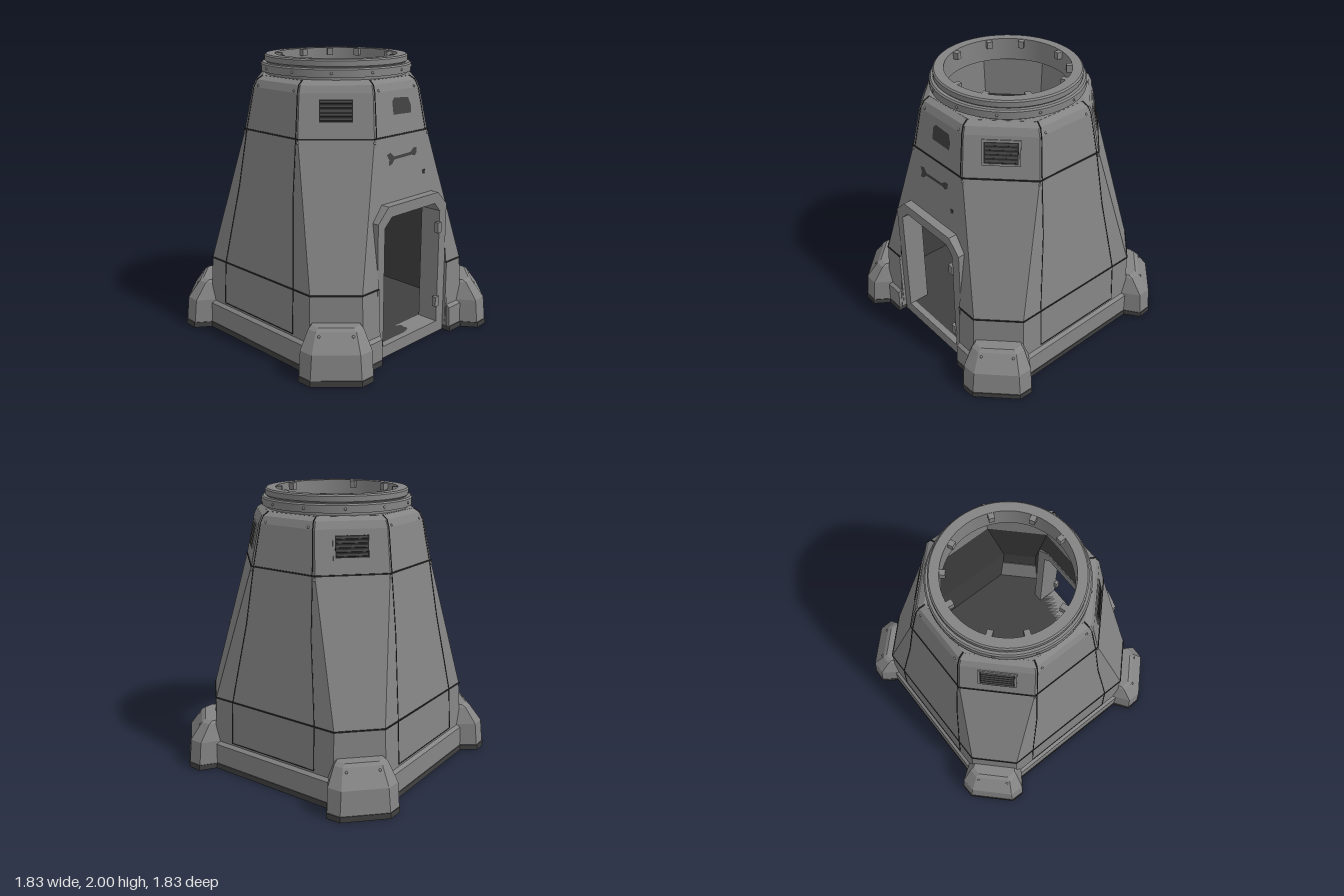
import * as THREE from 'three';
import { toCreasedNormals } from 'three/addons/utils/BufferGeometryUtils.js';

const mat = (name, color, side = THREE.FrontSide) => {
  const m = new THREE.MeshStandardMaterial({ color, side });
  m.name = name;
  return m;
};

// Wall levels: height, half width, half width of the flat face
const OUTER = [[0.04, 0.785, 0.53], [0.53, 0.76, 0.52], [1.5, 0.62, 0.27], [1.79, 0.572, 0.235],
  [1.84, 0.55, 0.225], [1.865, 0.51, 0.21]];
const INNER = OUTER.map(([y, w, f], i) => {
  const t = i < 3 ? 0.09 : 0.05;
  return [y, w - t, f - t * 0.41];
});

// Interpolated half widths [w, f] at height y
function at(levels, y) {
  let i = 0;
  while (i < levels.length - 2 && y > levels[i + 1][0]) i++;
  const [a, b] = [levels[i], levels[i + 1]];
  const k = (y - a[0]) / (b[0] - a[0]);
  return [a[1] + (b[1] - a[1]) * k, a[2] + (b[2] - a[2]) * k];
}
const octagon = (y, w, f) =>
  [[-f, w], [f, w], [w, f], [w, -f], [f, -w], [-f, -w], [-w, -f], [-w, f]].map(([x, z]) => [x, y, z]);

// Flat-shaded skin between stacked loops, optionally closed on top
function loft(loops, cap = true, skip = () => false) {
  const p = [];
  for (let l = 0; l < loops.length - 1; l++) {
    const [A, B] = [loops[l], loops[l + 1]];
    A.forEach((a, i) => {
      if (skip(l, i)) return;
      const j = (i + 1) % A.length;
      p.push(...a, ...A[j], ...B[j], ...a, ...B[j], ...B[i]);
    });
  }
  const top = loops[loops.length - 1];
  if (cap) for (let i = 1; i < top.length - 1; i++) p.push(...top[0], ...top[i], ...top[i + 1]);
  const g = new THREE.BufferGeometry();
  g.setAttribute('position', new THREE.Float32BufferAttribute(p, 3));
  g.computeVertexNormals();
  return g;
}

const shapeOf = (pts) => new THREE.Shape(pts.map(([x, y]) => new THREE.Vector2(x, y)));

// Flat polygon laid onto the sloping front wall
function frontPanel(pts, levels, lift = 0) {
  const g = new THREE.ShapeGeometry(shapeOf(pts));
  const pos = g.attributes.position;
  for (let i = 0; i < pos.count; i++) pos.setZ(i, at(levels, pos.getY(i))[0] + lift);
  g.computeVertexNormals();
  return g;
}

export function createModel() {
  const root = new THREE.Group();
  root.name = 'tower';
  const shell = mat('shell grey', 0x848484);
  const liner = mat('liner grey', 0x848484, THREE.DoubleSide);
  const dark = mat('dark grey', 0x404040, THREE.DoubleSide);
  const line = mat('seam dark', 0x282828);

  const add = (name, geo, m, parent = root) => {
    const mesh = new THREE.Mesh(geo, m);
    mesh.name = name;
    parent.add(mesh);
    return mesh;
  };
  const box = (name, m, w, h, d, x, y, z, parent) => {
    const b = add(name, new THREE.BoxGeometry(w, h, d), m, parent);
    b.position.set(x, y, z);
    return b;
  };
  // Thin strip between two points, in the parent's own frame
  const strip = (name, a, b, s, parent) => {
    const [p, q] = [new THREE.Vector3(...a), new THREE.Vector3(...b)];
    const mesh = add(name, new THREE.BoxGeometry(s, s, p.distanceTo(q)), line, parent);
    mesh.position.copy(p).add(q).multiplyScalar(0.5);
    mesh.quaternion.setFromUnitVectors(new THREE.Vector3(0, 0, 1), q.sub(p).normalize());
  };
  const bolt = (x, y, z, parent) =>
    add('bolt', new THREE.SphereGeometry(0.01, 8, 6), shell, parent).position.set(x, y, z);

  // Outer and inner walls, with the doorway cut from the front
  const doorSide = (l, i) => i === 0 && l < 2;
  add('outerWall', loft(OUTER.map((l) => octagon(...l)), false, doorSide), shell);
  add('innerWall', loft(INNER.slice(0, 3).map((l) => octagon(...l)), false, doorSide), dark);
  add('upperInnerWall', loft(INNER.slice(2).map((l) => octagon(...l)), false), liner);
  for (const [name, levels, m] of [['outerWall', OUTER, shell], ['innerWall', INNER, dark]]) {
    const [f0, f1, f2] = levels.map((l) => l[2]);
    add(name + 'Front', frontPanel([[-f1, 0.53], [-0.36, 0.53], [-0.36, 0.97], [-0.26, 1.07], [0.26, 1.07],
      [0.36, 0.97], [0.36, 0.53], [f1, 0.53], [f2, 1.5], [-f2, 1.5]], levels), m);
    for (const s of [-1, 1])
      add(name + 'LowerFront', frontPanel([[s * 0.36, 0.04], [s * f0, 0.04], [s * f1, 0.53], [s * 0.36, 0.53]], levels), m);
  }
  add('floor', loft([octagon(0.05, 0.7, 0.5), octagon(0.09, 0.7, 0.5)]), dark);

  // Roof plate with the round opening
  const roof = shapeOf(octagon(0, 0.51, 0.21).map(([x, , z]) => [x, -z]));
  roof.holes.push(new THREE.Path().absarc(0, 0, 0.44, 0, Math.PI * 2));
  const roofGeo = new THREE.ExtrudeGeometry(roof, { depth: 0.01, bevelEnabled: false, curveSegments: 24 });
  roofGeo.rotateX(-Math.PI / 2).translate(0, 1.856, 0);
  add('roofPlate', roofGeo, shell);

  // Stepped hatch ring with clips and bolts
  const profile = [[0.5, 1.86], [0.5, 1.885], [0.53, 1.885], [0.53, 1.935], [0.52, 1.945], [0.495, 1.945],
    [0.505, 1.955], [0.505, 1.99], [0.495, 2], [0.43, 2], [0.43, 1.84]].map(([x, y]) => new THREE.Vector2(x, y));
  add('hatchRing', toCreasedNormals(new THREE.LatheGeometry(profile, 64), 0.5), shell);
  for (const [x, z] of [[0.07, -0.45], [0.28, -0.35], [0.42, -0.17], [0.4, 0.17], [0.21, 0.38], [-0.02, 0.43],
    [-0.43, 0.14], [-0.42, -0.17], [-0.26, -0.36]]) {
    const a = Math.atan2(x, z);
    box('ringClip', shell, 0.04, 0.05, 0.07, Math.sin(a) * 0.425, 1.972, Math.cos(a) * 0.425).rotation.y = a;
  }
  for (let i = 0; i < 12; i++) bolt(Math.sin(i * 0.524 + 0.2) * 0.527, 1.912, Math.cos(i * 0.524 + 0.2) * 0.527);

  // Horizontal grooves around the wall
  for (const y of [0.53, 1.5]) {
    const ring = octagon(y, ...at(OUTER, y));
    ring.forEach((a, i) => {
      const b = ring[(i + 1) % 8];
      if (y < 1 && i === 0) {
        strip('groove', a, [-0.36, y, a[2]], 0.01);
        strip('groove', [0.36, y, a[2]], b, 0.01);
      } else strip('groove', a, b, 0.01);
    });
  }

  for (let k = 0; k < 4; k++) {
    // Panel seams on each flat face
    const face = new THREE.Group();
    face.name = 'facePanel';
    face.rotation.y = (k * Math.PI) / 2;
    root.add(face);
    const seam = (pts) => {
      for (let i = 0; i < pts.length - 1; i++) {
        const [a, b] = [pts[i], pts[i + 1]].map(([x, y]) => [x, y, at(OUTER, y)[0]]);
        strip('seam', a, b, 0.006, face);
      }
    };
    for (const s of [-1, 1]) {
      seam([[s * 0.25, 1.5], [s * 0.22, 1.79], [s * 0.21, 1.84], [s * 0.2, 1.865]]);
      bolt(s * 0.27, 1.475, at(OUTER, 1.475)[0] - 0.003, face);
      bolt(s * 0.18, 1.8, at(OUTER, 1.8)[0] - 0.004, face);
      if (k) seam([[s * 0.25, 1.5], [s * 0.28, 1.1], [s * 0.33, 0.75], [s * 0.36, 0.53], [s * 0.365, 0.22]]);
    }
    if (k) seam([[-0.365, 0.22], [0.365, 0.22]]);

    // Plinth with a bevelled top edge, split at the door
    const plinth = (x0, x1) => add('plinth', loft([[0.04, 0.805], [0.185, 0.8], [0.21, 0.77]].map(([y, z]) =>
      [[x0, y, z], [x1, y, z], [x1, y, 0.71], [x0, y, 0.71]])), shell, face);
    if (k) plinth(-0.68, 0.68);
    else for (const s of [-1, 1]) {
      plinth(s < 0 ? -0.62 : 0.365, s < 0 ? -0.365 : 0.62);
      box('doorReveal', shell, 0.015, 0.46, 0.06, s * 0.368, 0.3, 0.735, face);
    }

    // Corner buttress foot with dark sole
    const corner = new THREE.Group();
    corner.name = 'corner';
    corner.rotation.y = Math.PI / 4 + (k * Math.PI) / 2;
    root.add(corner);
    const loop = (y, u, w, w2, c) => [[-w2, u], [w2, u], [w, u - c], [w * 0.84, 0.82], [-w * 0.84, 0.82], [-w, u - c]]
      .map(([x, z]) => [x, y, z]);
    add('foot', loft([loop(0.04, 1.115, 0.24, 0.165, 0.07), loop(0.21, 1.1, 0.232, 0.155, 0.07),
      loop(0.33, 1.015, 0.18, 0.13, 0.05), loop(0.348, 0.99, 0.16, 0.115, 0.05)]), shell, corner);
    const sole = [0, 0.04].map((y) => loop(y, 1.12, 0.244, 0.167, 0.07));
    add('footSole', loft(sole), dark, corner);
    add('footUnderside', loft([sole[0].slice().reverse()]), dark, corner);
    for (const s of [-1, 1]) bolt(s * 0.11, 0.305, 1.03, corner);

    // Louvred vent on the chamfered face
    const [w, f] = at(OUTER, 1.68);
    const vent = new THREE.Group();
    vent.name = 'vent';
    vent.position.set(0, 1.68, (w + f) / Math.SQRT2);
    vent.rotation.x = -0.2;
    corner.add(vent);
    box('ventOpening', line, 0.22, 0.145, 0.008, 0, 0, 0.002, vent);
    for (const s of [-1, 1]) {
      box('ventFrame', shell, 0.25, 0.014, 0.012, 0, s * 0.08, 0.002, vent);
      box('ventFrame', shell, 0.014, 0.16, 0.012, s * 0.118, 0, 0.002, vent);
    }
    for (let i = -2; i <= 2; i++) box('ventSlat', dark, 0.205, 0.016, 0.012, 0, i * 0.028, 0.003, vent).rotation.x = -0.4;
  }

  // Dark base slab, notched at the door
  const slab = new THREE.ExtrudeGeometry(shapeOf([[-0.81, 0.6], [-0.81, -0.6], [-0.6, -0.81], [-0.37, -0.81], [-0.37, -0.74],
    [0.37, -0.74], [0.37, -0.81], [0.6, -0.81], [0.81, -0.6], [0.81, 0.6], [0.6, 0.81], [-0.6, 0.81]]),
  { depth: 0.04, bevelEnabled: false });
  slab.rotateX(-Math.PI / 2);
  add('baseSlab', slab, dark);

  // Door frame with clipped top corners, sill and hinges
  const frame = shapeOf([[-0.36, 0.005], [0.36, 0.005], [0.36, 0.97], [0.26, 1.07], [-0.26, 1.07], [-0.36, 0.97]]);
  frame.holes.push(new THREE.Path([[-0.295, 0.09], [-0.295, 0.93], [-0.225, 0.995], [0.225, 0.995], [0.285, 0.93], [0.285, 0.09]]
    .map(([x, y]) => new THREE.Vector2(x, y))));
  const frameGeo = new THREE.ExtrudeGeometry(frame, { depth: 0.16, bevelEnabled: false });
  add('doorFrame', frameGeo.translate(0, 0, 0.585), shell);
  for (const y of [0.25, 0.81]) box('hinge', shell, 0.04, 0.075, 0.03, 0.275, y, 0.742);

  // Dark worn patches on the front wall
  add('upperPatch', frontPanel([[-0.065, 1.635], [0.115, 1.63], [0.12, 1.68], [0.1, 1.735], [-0.04, 1.745], [-0.065, 1.72]], OUTER, 0.004), dark);
  add('lowerPatch', frontPanel([[-0.16, 1.31], [-0.125, 1.32], [-0.1, 1.345], [0.08, 1.35], [0.11, 1.34], [0.135, 1.36],
    [0.135, 1.395], [0.105, 1.395], [0.07, 1.37], [-0.1, 1.365], [-0.13, 1.395], [-0.17, 1.385], [-0.15, 1.35]], OUTER, 0.004), dark);
  box('smallLatch', dark, 0.02, 0.03, 0.008, 0.195, 1.215, at(OUTER, 1.215)[0]);

  return root;
}
